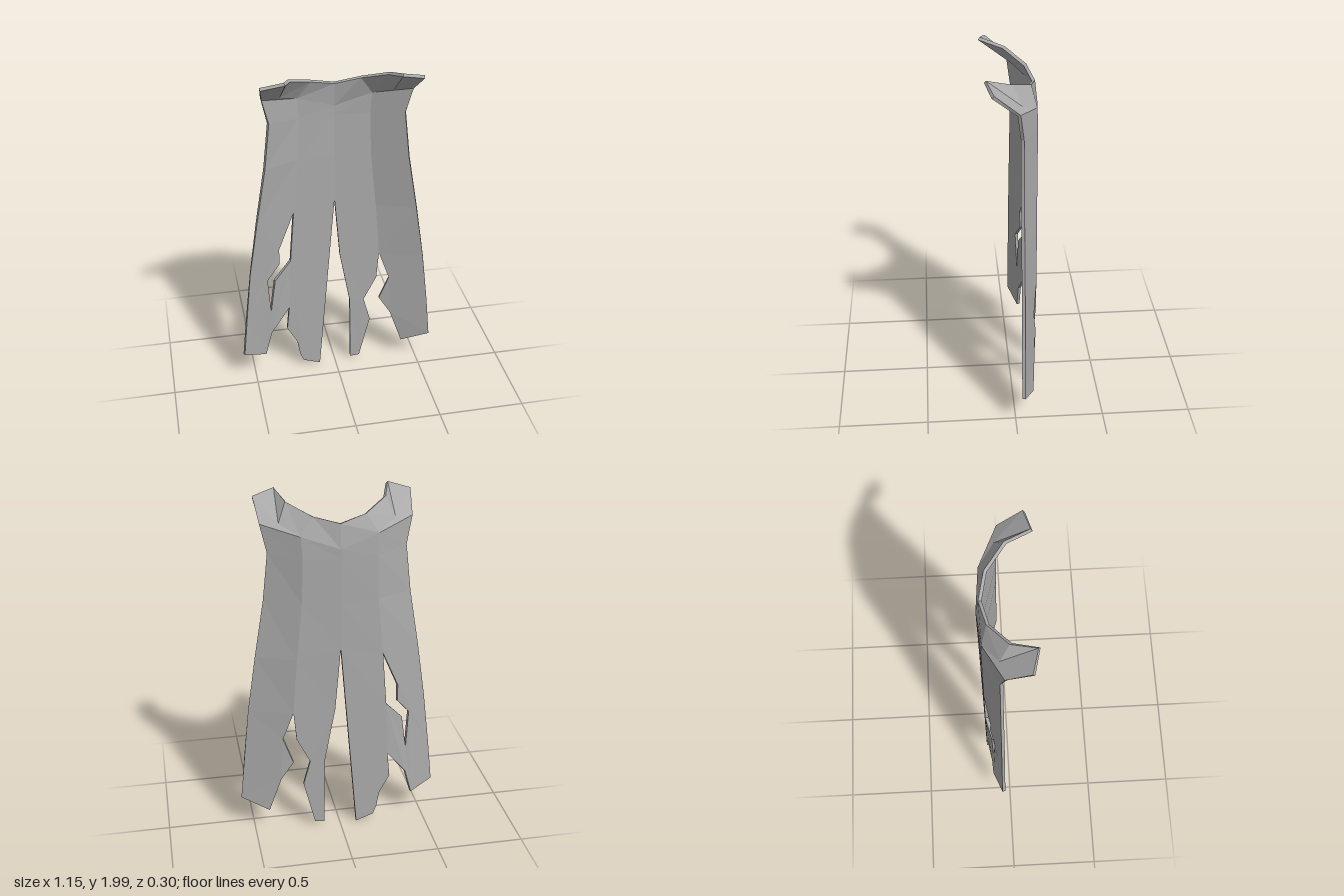
import * as THREE from 'three';

const THICKNESS = 0.018;

// piecewise-linear lookup over [y, value] pairs in falling y
function along(table, y) {
  for (let i = 0; i < table.length - 1; i++) {
    const [y0, v0] = table[i], [y1, v1] = table[i + 1];
    if (y >= y1 || i === table.length - 2) {
      return THREE.MathUtils.lerp(v0, v1, THREE.MathUtils.clamp((y0 - y) / (y0 - y1), 0, 1));
    }
  }
}
const creaseX = y => along([[1.68, 0.2], [1.43, 0.207], [1.1, 0.24], [0.77, 0.265], [0.45, 0.28], [0.13, 0.36]], y);
const edgeX = y => along([[1.7, 0.375], [1.43, 0.405], [1.1, 0.46], [0.77, 0.51], [0.2, 0.57]], y);

// depth of the hanging cloth: nearly flat back, sides bent forward
function drape([x, y]) {
  const a = Math.abs(x), c = creaseX(y), e = edgeX(y);
  const middle = along([[1.7, -0.143], [0, -0.128]], y);
  const crease = along([[1.7, -0.127], [0, -0.12]], y);
  const z = a <= c ? THREE.MathUtils.lerp(middle, crease, a / c)
    : THREE.MathUtils.lerp(crease, -0.04, Math.min(1, (a - c) / (e - c)));
  return [x, y, z];
}

// joins polygons into one sheet, then gives it thickness and side walls
function thickSheet(polygons) {
  const points = [], normals = [], ids = new Map(), tris = [];
  const idOf = p => {
    const key = p.map(v => v.toFixed(3)).join();
    if (!ids.has(key)) {
      ids.set(key, points.length);
      points.push(new THREE.Vector3(...p));
      normals.push(new THREE.Vector3());
    }
    return ids.get(key);
  };
  for (const poly of polygons) {
    const flat = poly.map(p => new THREE.Vector2(p[0], p[1]));
    for (const [i, j, k] of THREE.ShapeUtils.triangulateShape(flat, [])) {
      const up = THREE.ShapeUtils.area([flat[i], flat[j], flat[k]]) > 0;
      tris.push((up ? [i, j, k] : [i, k, j]).map(n => idOf(poly[n])));
    }
  }
  const edges = new Set();
  for (const t of tris) {
    const [a, b, c] = t.map(i => points[i]);
    const n = b.clone().sub(a).cross(c.clone().sub(a)).normalize();
    t.forEach((v, i) => {
      normals[v].add(n);
      edges.add(v + '_' + t[(i + 1) % 3]);
    });
  }
  const shift = s => points.map((p, i) => p.clone().addScaledVector(normals[i].clone().normalize(), s * THICKNESS / 2));
  const front = shift(1), back = shift(-1), out = [];
  const add = (...vs) => vs.forEach(v => out.push(v.x, v.y, v.z));
  for (const [a, b, c] of tris) {
    add(front[a], front[b], front[c]);
    add(back[a], back[c], back[b]);
  }
  for (const edge of edges) {
    const [a, b] = edge.split('_').map(Number);
    if (edges.has(b + '_' + a)) continue;
    add(front[a], back[a], back[b]);
    add(front[a], back[b], front[b]);
  }
  const geometry = new THREE.BufferGeometry();
  geometry.setAttribute('position', new THREE.Float32BufferAttribute(out, 3));
  geometry.computeVertexNormals();
  return geometry;
}

export function createModel() {
  const cloth = new THREE.MeshStandardMaterial({ color: 0xaaaaaa, flatShading: true });
  cloth.name = 'grey cloth';
  const polygons = [];

  for (const s of [1, -1]) {
    // collar and shoulder flap
    const m = ([x, y, z]) => [s * x, y, z];
    const rim = [[0, 1.865, -0.128], [0.14, 1.9, -0.095], [0.265, 1.953, 0.01],
      [0.307, 1.992, 0.142], [0.43, 1.96, 0.11], [0.41, 1.85, -0.02]].map(m);
    const neck = [[0, 1.73, -0.143], [0.207, 1.8, -0.122], [0.312, 1.85, -0.04]].map(m);
    const top = [[0, 1.675], [s * 0.2, 1.68], [s * 0.375, 1.7]].map(drape);
    polygons.push(
      [rim[0], rim[1], neck[1], neck[0]],
      [rim[1], rim[2], neck[2], neck[1]],
      [rim[2], rim[3], neck[2]],
      [rim[3], rim[4], neck[2]],
      [rim[4], rim[5], neck[2]],
      [neck[0], neck[1], top[1], top[0]],
      [neck[1], neck[2], rim[5]],
      [neck[1], rim[5], top[2], top[1]],
    );
    // upper back, down to where the tears begin
    const row = [[0, 1.42], [s * 0.207, 1.43], [s * 0.405, 1.43]].map(drape);
    const low = [[0, 1.155], [s * 0.24, 1.1], [s * 0.46, 1.1]].map(drape);
    for (const [a, b] of [[top, row], [row, low]]) {
      for (const i of [0, 1]) polygons.push([a[i], a[i + 1], b[i + 1], b[i]]);
    }
  }

  // torn strips on the left side
  const leftInner = [[0, 1.155], [0.24, 1.1], [0.265, 0.77], [0.25, 0.6], [0.175, 0.45],
    [0.215, 0.3], [0.15, 0.035], [0.095, 0.03], [0.09, 0.45], [0.03, 0.78]];
  const leftOuterTop = [[0.24, 1.1], [0.46, 1.1], [0.51, 0.77], [0.265, 0.77]];
  const leftOuter = [[0.265, 0.77], [0.51, 0.77], [0.545, 0.45], [0.57, 0.2],
    [0.412, 0.13], [0.34, 0.34], [0.27, 0.45], [0.325, 0.6]];
  // torn strips on the right side, with a long rip
  const rightInner = [[0, 1.155], [-0.24, 1.1], [-0.265, 0.78], [-0.28, 0.45], [-0.295, 0.3],
    [-0.235, 0.19], [-0.22, 0.1], [-0.2, 0.045], [-0.097, 0.008]];
  const rightOuter = [[-0.24, 1.1], [-0.335, 0.88], [-0.335, 0.78], [-0.41, 0.69],
    [-0.395, 0.46], [-0.435, 0.15], [-0.57, 0.2], [-0.545, 0.45], [-0.51, 0.77], [-0.46, 1.1]];
  const rightBridge = [[-0.265, 0.78], [-0.365, 0.67], [-0.395, 0.46], [-0.435, 0.15],
    [-0.395, 0.3], [-0.28, 0.45]];
  for (const strip of [leftInner, leftOuterTop, leftOuter, rightInner, rightOuter, rightBridge]) {
    polygons.push(strip.map(drape));
  }

  const cape = new THREE.Mesh(thickSheet(polygons), cloth);
  cape.name = 'tattered cape';
  const group = new THREE.Group();
  group.name = 'cape';
  group.add(cape);
  return group;
}
